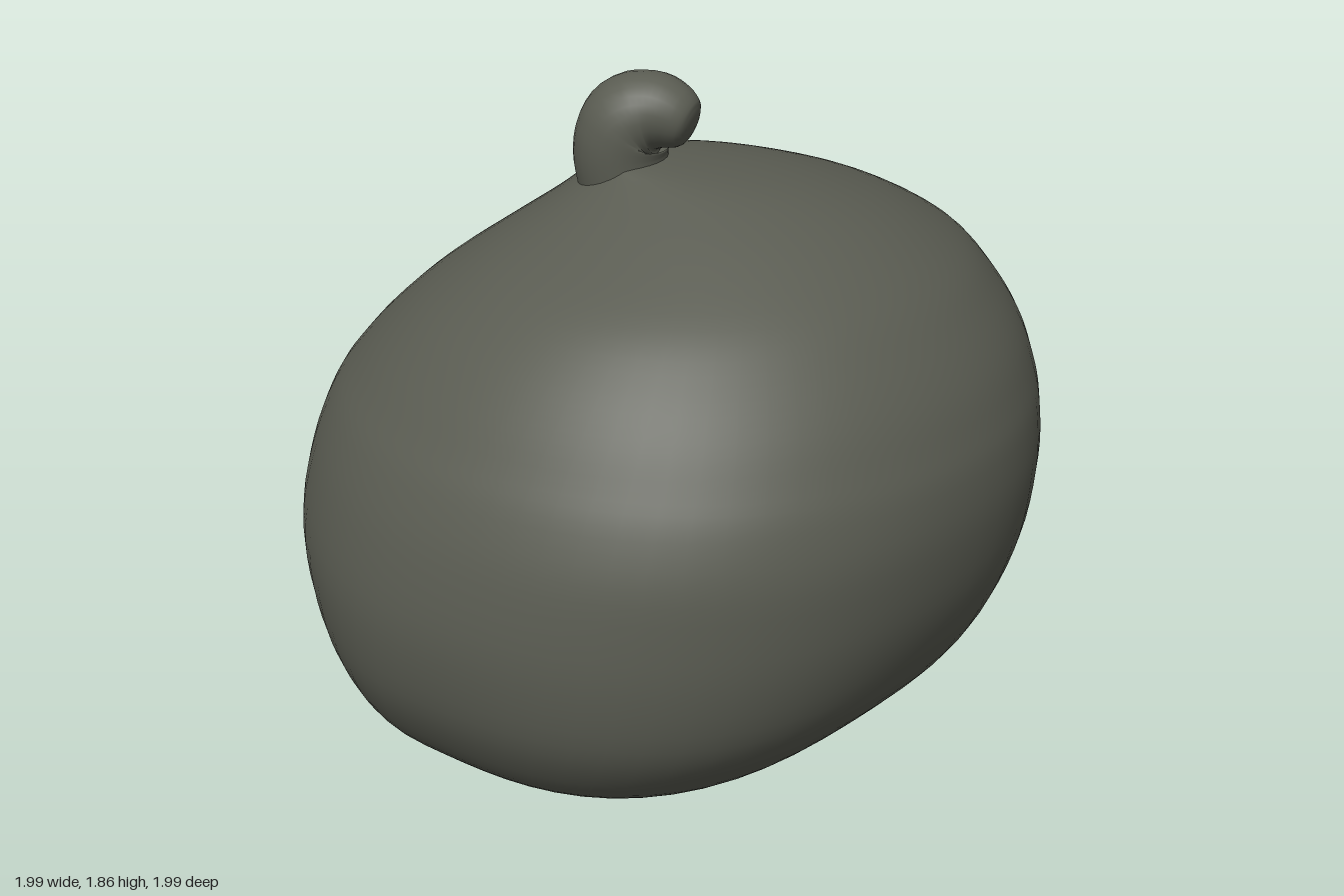
import * as THREE from 'three';

const skin = new THREE.MeshStandardMaterial({ color: 0x5a5c52 });
skin.name = 'dark olive grey';

// Cross-sections from bottom to top: [y, left edge, right edge, back edge, front edge]
const sections = [
  [0.01, -0.15, -0.15, 0.1, 0.1],
  [0.02, -0.52, 0.12, -0.12, 0.32],
  [0.06, -0.66, 0.28, -0.34, 0.5],
  [0.12, -0.77, 0.44, -0.53, 0.68],
  [0.2, -0.865, 0.61, -0.7, 0.815],
  [0.3, -0.94, 0.745, -0.82, 0.9],
  [0.45, -0.985, 0.875, -0.93, 0.97],
  [0.65, -0.995, 0.96, -0.985, 1.0],
  [0.85, -0.96, 0.99, -0.99, 0.975],
  [1.0, -0.9, 0.98, -0.97, 0.925],
  [1.1, -0.825, 0.95, -0.945, 0.87],
  [1.2, -0.725, 0.905, -0.9, 0.805],
  [1.3, -0.605, 0.835, -0.83, 0.72],
  [1.4, -0.465, 0.74, -0.73, 0.6],
  [1.5, -0.325, 0.59, -0.55, 0.41],
  [1.57, -0.235, 0.43, -0.36, 0.27],
  [1.61, -0.18, 0.27, -0.2, 0.2],
  [1.635, -0.14, 0.06, -0.04, 0.16],
  [1.64, -0.05, -0.05, 0.07, 0.07],
];

// Swelling of the four diagonals, counted from front left (+x +z) via
// front right and back right to back left: [at mid height, extra at the bottom]
const swelling = [[0.04, 0.08], [-0.02, -0.05], [-0.02, 0.06], [0, 0]];

// Joins closed rings of points, listed bottom to top, into a smooth skin
function loft(rings) {
  const n = rings[0].length;
  const index = [];
  for (let i = 0; i < rings.length - 1; i++) {
    for (let j = 0; j < n; j++) {
      const a = i * n + j, b = i * n + (j + 1) % n;
      index.push(a, a + n, b, b, a + n, b + n);
    }
  }
  const geometry = new THREE.BufferGeometry().setFromPoints(rings.flat());
  geometry.setIndex(index);
  geometry.computeVertexNormals();
  return geometry;
}

// Lopsided fruit: uneven ellipses whose centres drift with height
function bodyGeometry() {
  const curve = (lo, hi) => new THREE.CatmullRomCurve3(
    sections.map(s => new THREE.Vector3(s[lo], s[0], s[hi])), false, 'catmullrom');
  const xCurve = curve(1, 2), zCurve = curve(3, 4);
  const rows = (sections.length - 1) * 4, sides = 72, rings = [];
  for (let i = 0; i <= rows; i++) {
    const p = xCurve.getPoint(i / rows), q = zCurve.getPoint(i / rows);
    const middle = 1 - THREE.MathUtils.smoothstep(p.y, 0.8, 1.4);
    const bottom = 1 - THREE.MathUtils.smoothstep(p.y, 0.1, 0.8);
    const ring = [];
    for (let j = 0; j < sides; j++) {
      const t = j / sides * Math.PI * 2;
      const [mid, low] = swelling[Math.floor(j * 4 / sides)];
      const swell = 1 + (mid * middle + low * bottom) * Math.sin(2 * t) ** 2;
      ring.push(new THREE.Vector3(
        (p.x + p.z) / 2 + (p.z - p.x) / 2 * Math.cos(t) * swell,
        p.y,
        (q.x + q.z) / 2 + (q.z - q.x) / 2 * Math.sin(t) * swell));
    }
    rings.push(ring);
  }
  return loft(rings);
}

// Thick stubby stalk that hooks over to the left and ends bluntly
function stemGeometry() {
  const path = new THREE.CatmullRomCurve3([
    new THREE.Vector3(-0.065, 1.56, 0.085),
    new THREE.Vector3(-0.07, 1.66, 0.095),
    new THREE.Vector3(-0.045, 1.73, 0.085),
    new THREE.Vector3(0.02, 1.755, 0.055),
    new THREE.Vector3(0.115, 1.725, 0.025),
  ]);
  const radii = new THREE.SplineCurve([
    [0, 0.12], [0.3, 0.122], [0.5, 0.118], [0.72, 0.1], [0.9, 0.075], [0.97, 0.05], [1, 0],
  ].map(p => new THREE.Vector2(...p)));
  const rows = 36, sides = 28, rings = [];
  const frames = path.computeFrenetFrames(rows, false);
  for (let i = 0; i <= rows; i++) {
    const r = radii.getPoint(i / rows);
    const k = Math.min(1, Math.max(0, r.x));
    const centre = path.getPointAt(k);
    const f = Math.round(k * rows);
    const ring = [];
    for (let j = 0; j < sides; j++) {
      const t = -j / sides * Math.PI * 2;
      ring.push(centre.clone()
        .addScaledVector(frames.normals[f], Math.cos(t) * r.y)
        .addScaledVector(frames.binormals[f], Math.sin(t) * r.y));
    }
    rings.push(ring);
  }
  return loft(rings);
}

export function createModel() {
  const model = new THREE.Group();
  const add = (name, geometry) => {
    const mesh = new THREE.Mesh(geometry, skin);
    mesh.name = name;
    model.add(mesh);
    return mesh;
  };
  add('body', bodyGeometry());
  add('stem', stemGeometry());

  // Small scar under the fruit
  const scar = add('blossomScar', new THREE.SphereGeometry(0.04, 16, 10));
  scar.scale.set(1, 0.5, 1);
  scar.position.set(0.1, 0.02, -0.04);
  return model;
}
